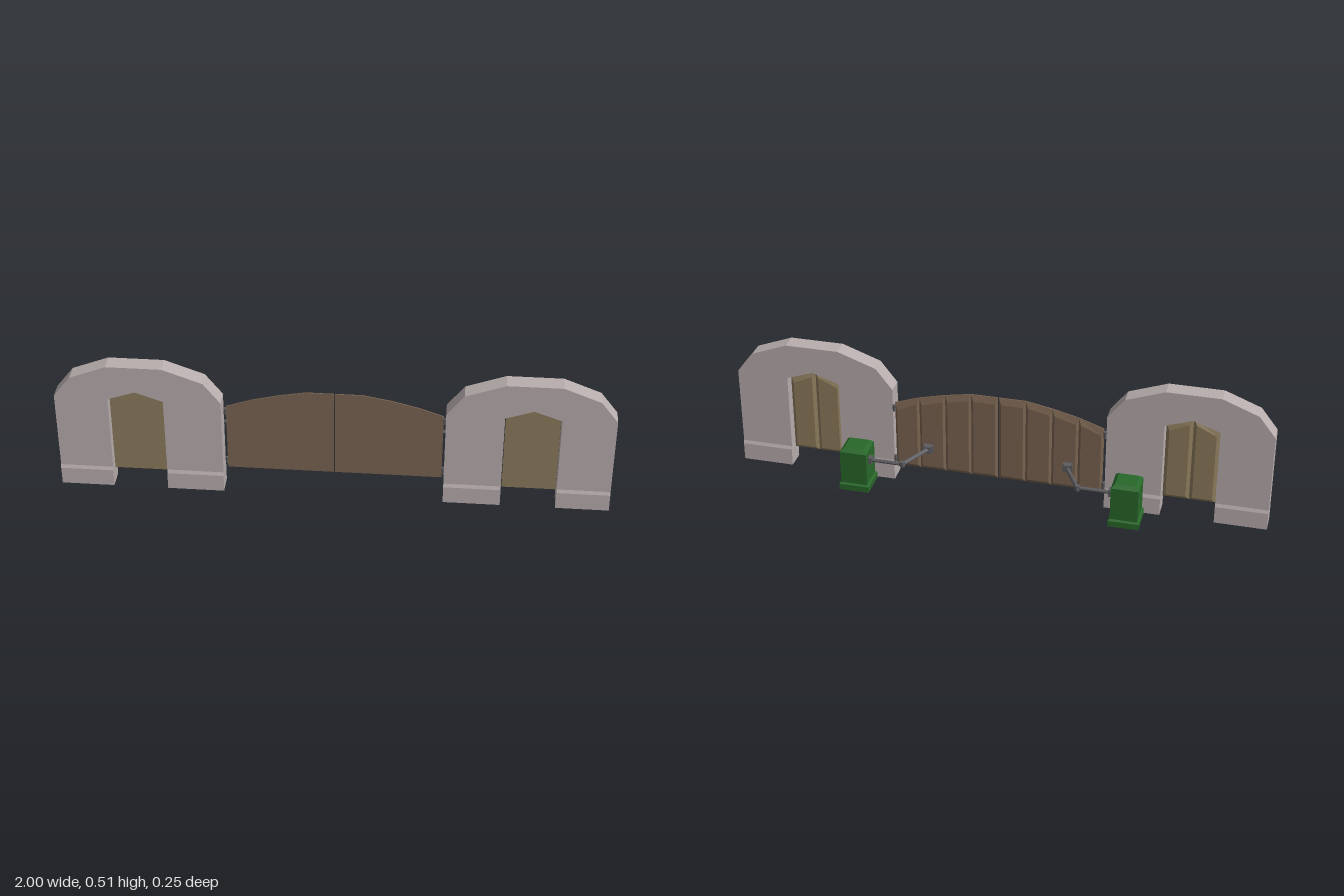
import * as THREE from 'three';

const material = (color) => new THREE.MeshStandardMaterial({ color, flatShading: true });
const stone = material(0xb9aeae), gateWood = material(0x7b6552), doorWood = material(0x8d7c5d);
const green = material(0x28682a), metal = material(0x5c5c60);

// Closed flat-shaded solid through a row of matching cross-sections
function loft(sections) {
  const pos = [];
  const tri = (a, b, c) => pos.push(...a, ...b, ...c);
  const n = sections[0].length;
  for (let s = 0; s < sections.length - 1; s++) {
    const a = sections[s], b = sections[s + 1];
    for (let i = 0; i < n; i++) {
      const j = (i + 1) % n;
      tri(a[i], a[j], b[j]);
      tri(a[i], b[j], b[i]);
    }
  }
  const first = sections[0], last = sections[sections.length - 1];
  for (let i = 1; i < n - 1; i++) {
    tri(first[0], first[i + 1], first[i]);
    tri(last[0], last[i], last[i + 1]);
  }
  const g = new THREE.BufferGeometry();
  g.setAttribute('position', new THREE.Float32BufferAttribute(pos, 3));
  g.computeVertexNormals();
  return g;
}

// Horizontal rectangle used as a loft section
const rect = (x0, x1, z0, z1, y) => [[x0, y, z1], [x1, y, z1], [x1, y, z0], [x0, y, z0]];

// Plank with a sloping top, chamfered on its back
function plank(x0, x1, y, top0, top1, zBack, zBevel, zFront, inset) {
  const quad = (i, low, high, z) => [
    [x0 + i, y + low, z], [x1 - i, y + low, z], [x1 - i, top1 - high, z], [x0 + i, top0 - high, z],
  ];
  return loft([quad(inset, 0.013, 0.026, zBack), quad(0, 0, 0, zBevel), quad(0, 0, 0, zFront)]);
}

function box(w, h, d, x, y, z) {
  return new THREE.BoxGeometry(w, h, d).translate(x, y, z);
}

// Round bar between two points
function bar(a, b, r) {
  const from = new THREE.Vector3(...a), to = new THREE.Vector3(...b);
  const dir = to.clone().sub(from);
  const g = new THREE.CylinderGeometry(r, r, dir.length(), 8);
  g.applyQuaternion(new THREE.Quaternion().setFromUnitVectors(new THREE.Vector3(0, 1, 0), dir.normalize()));
  const mid = from.add(to).multiplyScalar(0.5);
  return g.translate(mid.x, mid.y, mid.z);
}

// Mirror across x = 0 and turn the triangles back outward
function mirrored(geometry) {
  const g = geometry.index ? geometry.toNonIndexed() : geometry.clone();
  g.scale(-1, 1, 1);
  const p = g.attributes.position;
  const b = new THREE.Vector3(), c = new THREE.Vector3();
  for (let i = 0; i < p.count; i += 3) {
    b.fromBufferAttribute(p, i + 1);
    c.fromBufferAttribute(p, i + 2);
    p.setXYZ(i + 1, c.x, c.y, c.z);
    p.setXYZ(i + 2, b.x, b.y, b.z);
  }
  g.computeVertexNormals();
  return g;
}

export function createModel() {
  const model = new THREE.Group();
  model.name = 'gateway';
  const halves = ['left', 'right'].map((side) => {
    const g = new THREE.Group();
    g.name = side + 'Half';
    model.add(g);
    return g;
  });
  const add = (name, geometry, mat) => {
    [geometry, mirrored(geometry)].forEach((g, i) => {
      const mesh = new THREE.Mesh(g, mat);
      mesh.name = name;
      halves[i].add(mesh);
    });
  };

  // Faceted stone arch standing on two plinths
  const outline = [
    [0.4, 0.08], [0.607, 0.08], [0.607, 0.378], [0.707, 0.413], [0.807, 0.378], [0.807, 0.08],
    [1, 0.08], [1, 0.383], [0.938, 0.463], [0.805, 0.515], [0.605, 0.515], [0.462, 0.463], [0.4, 0.383],
  ];
  const shape = new THREE.Shape(outline.map(([x, y]) => new THREE.Vector2(x, y)));
  const arch = new THREE.ExtrudeGeometry(shape, { depth: 0.064, bevelEnabled: false });
  add('stoneArch', arch.translate(0, 0, 0.058), stone);
  for (const [x0, x1] of [[0.4, 0.607], [0.807, 1]]) {
    add('plinth', loft([
      rect(x0, x1, 0.053, 0.127, 0), rect(x0, x1, 0.053, 0.127, 0.067), rect(x0, x1, 0.058, 0.122, 0.08),
    ]), stone);
  }

  // Peaked side door of two planks
  add('doorPlank', plank(0.61, 0.707, 0.062, 0.372, 0.407, 0.081, 0.091, 0.098, 0.012), doorWood);
  add('doorPlank', plank(0.707, 0.804, 0.062, 0.407, 0.372, 0.081, 0.091, 0.098, 0.012), doorWood);

  // Gate leaf of four planks under a curved top
  const edges = [[0.002, 0.406], [0.102, 0.406], [0.2, 0.388], [0.298, 0.364], [0.391, 0.332]];
  for (let i = 0; i < 4; i++) {
    const [x0, t0] = edges[i], [x1, t1] = edges[i + 1];
    add('gatePlank', plank(x0, x1, 0.064, t0, t1, 0.052, 0.059, 0.063, 0.009), gateWood);
  }

  // Hinges
  for (const y of [0.092, 0.308]) {
    add('hinge', new THREE.CylinderGeometry(0.006, 0.006, 0.026, 8).translate(0.395, y, 0.058), metal);
  }

  // Gate opener cabinet with flared base and tapered cap
  const cx = 0.503, cz = -0.069;
  const square = (h, y) => rect(cx - h, cx + h, cz - h, cz + h, y);
  add('openerCabinet', loft([
    square(0.056, 0.042), square(0.056, 0.065), square(0.05, 0.071),
    square(0.05, 0.2), square(0.037, 0.213),
  ]), green);

  // Jointed arm from the cabinet to the gate leaf
  const y = 0.162;
  add('armSocket', box(0.014, 0.026, 0.024, 0.447, y, -0.085), metal);
  add('innerArm', bar([0.447, y, -0.085], [0.326, y, -0.085], 0.007), metal);
  add('elbow', new THREE.CylinderGeometry(0.01, 0.01, 0.02, 8).translate(0.326, y, -0.085), metal);
  add('outerArm', bar([0.326, y, -0.085], [0.264, y, 0.032], 0.008), metal);
  add('gateBracket', loft([
    rect(0.25, 0.276, 0.027, 0.04, 0.147), rect(0.25, 0.276, 0.027, 0.04, 0.175),
  ]), metal);
  add('bracketPlate', box(0.036, 0.028, 0.014, 0.263, 0.161, 0.046), metal);
  return model;
}
